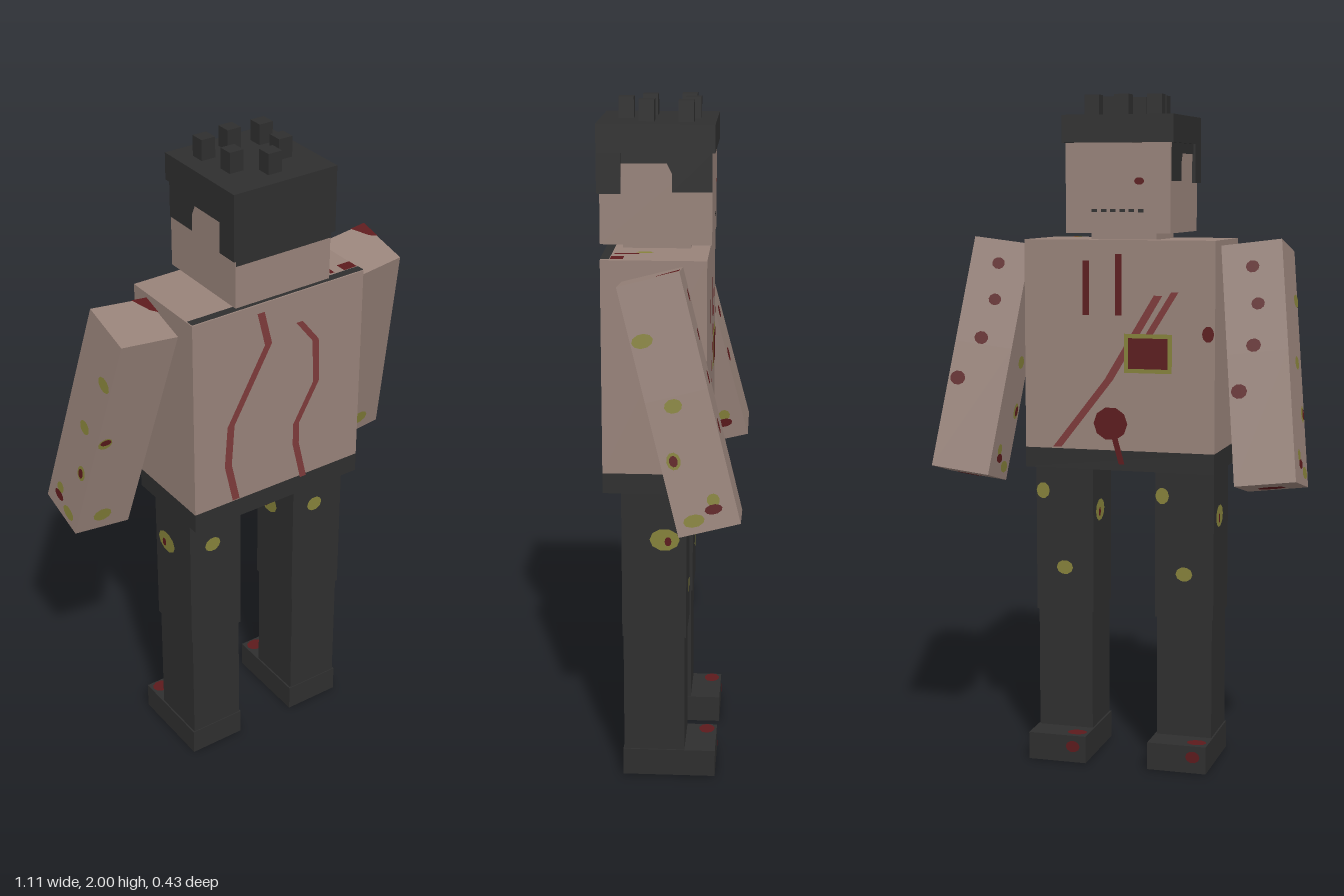
import * as THREE from 'three';

const colours = { skin: 0x978279, dark: 0x2e2e2e, blood: 0x5c1a1c, scratch: 0x7d3a3a, mould: 0x85813a };
const mats = {};
for (const [name, color] of Object.entries(colours)) {
  mats[name] = new THREE.MeshStandardMaterial({ color });
  mats[name].name = name;
}

// Box given by its limits on each axis
function box(parent, name, mat, [x0, x1], [y0, y1], [z0, z1]) {
  const mesh = new THREE.Mesh(new THREE.BoxGeometry(x1 - x0, y1 - y0, z1 - z0), mats[mat]);
  mesh.position.set((x0 + x1) / 2, (y0 + y1) / 2, (z0 + z1) / 2);
  mesh.name = name;
  parent.add(mesh);
  return mesh;
}

// Painted faces: rotation of the plate, sign of its two axes, axis it faces along
const H = Math.PI / 2;
const faces = {
  '+z': { rot: [0, 0, 0], su: 1, sv: 1, pos: d => [0, 0, d] },
  '-z': { rot: [0, 2 * H, 0], su: -1, sv: 1, pos: d => [0, 0, d] },
  '+x': { rot: [0, H, 0], su: -1, sv: 1, pos: d => [d, 0, 0] },
  '-x': { rot: [0, -H, 0], su: 1, sv: 1, pos: d => [d, 0, 0] },
  '+y': { rot: [-H, 0, 0], su: 1, sv: -1, pos: d => [0, d, 0] },
  '-y': { rot: [H, 0, 0], su: 1, sv: 1, pos: d => [0, d, 0] },
};
function paint(parent, name, mat, face, depth, points, lift = 0.003) {
  const f = faces[face];
  const shape = new THREE.Shape(points.map(([u, v]) => new THREE.Vector2(u * f.su, v * f.sv)));
  const mesh = new THREE.Mesh(new THREE.ShapeGeometry(shape), mats[mat]);
  mesh.rotation.set(...f.rot);
  mesh.position.set(...f.pos(depth + (face[0] === '+' ? lift : -lift)));
  mesh.name = name;
  parent.add(mesh);
}
const rect = (u, v, w, h) =>
  [[u - w / 2, v - h / 2], [u + w / 2, v - h / 2], [u + w / 2, v + h / 2], [u - w / 2, v + h / 2]];
const blob = (u, v, ru, rv = ru) => Array.from({ length: 10 }, (_, i) =>
  [u + ru * Math.cos(i * Math.PI / 5), v + rv * Math.sin(i * Math.PI / 5)]);
const streak = (pts, w) =>
  [...pts.map(([u, v]) => [u - w / 2, v]), ...pts.map(([u, v]) => [u + w / 2, v]).reverse()];

function buildHead() {
  const g = new THREE.Group();
  g.name = 'head';
  box(g, 'neck', 'skin', [-0.1, 0.1], [1.575, 1.61], [-0.05, 0.145]);
  box(g, 'face', 'skin', [-0.158, 0.158], [1.6, 1.87], [-0.113, 0.206]);
  box(g, 'hairTop', 'dark', [-0.168, 0.168], [1.86, 1.94], [-0.121, 0.214]);
  box(g, 'hairBack', 'dark', [-0.168, 0.168], [1.745, 1.86], [0.145, 0.214]);
  paint(g, 'hairline', 'dark', '+z', 0.206, rect(0, 1.737, 0.316, 0.02));
  // Sideburns
  for (const s of [-1, 1]) {
    paint(g, 'sideburn', 'dark', s > 0 ? '+x' : '-x', s * 0.158,
      [[-0.113, 1.75], [0, 1.75], [0, 1.8], [0.015, 1.83], [0.145, 1.83], [0.145, 1.86], [-0.113, 1.86]]);
  }
  // Hair tufts
  for (const [x, z] of [[-0.095, -0.037], [0.095, -0.037], [0, -0.053], [-0.08, 0.076], [0.08, 0.076], [0, 0.14]]) {
    box(g, 'hairTuft', 'dark', [x - 0.022, x + 0.022], [1.93, 2], [z - 0.022, z + 0.022]);
  }
  // Stitched mouth and cheek wound
  for (let i = 0; i < 6; i++) paint(g, 'mouthStitch', 'dark', '-z', -0.113, rect(-0.07 + i * 0.028, 1.665, 0.017, 0.009));
  paint(g, 'cheekWound', 'blood', '-z', -0.113, blob(-0.065, 1.75, 0.015, 0.011));
  return g;
}

function buildTorso() {
  const g = new THREE.Group();
  g.name = 'torso';
  const X = [-0.29, 0.29], Z = [-0.105, 0.193];
  box(g, 'chest', 'skin', X, [0.96, 1.58], Z);
  box(g, 'belt', 'dark', X, [0.9, 0.96], Z);
  paint(g, 'underside', 'skin', '-y', 0.9, rect(0, 0.044, 0.54, 0.25));
  paint(g, 'shoulderStrip', 'dark', '+y', 1.58, rect(0, 0.18, 0.58, 0.026));
  paint(g, 'shoulderBlood', 'blood', '+y', 1.58, rect(0.265, 0.147, 0.045, 0.036));
  paint(g, 'shoulderBlood', 'blood', '+y', 1.58, rect(0.205, 0.125, 0.014, 0.07));
  paint(g, 'shoulderMould', 'mould', '+y', 1.58, blob(0.182, 0.075, 0.012, 0.025));
  // Long scratches
  paint(g, 'scratch', 'scratch', '+z', Z[1],
    streak([[-0.066, 1.554], [-0.04, 1.448], [-0.167, 1.22], [-0.177, 1.09], [-0.15, 0.965]], 0.024));
  paint(g, 'scratch', 'scratch', '+z', Z[1],
    streak([[0.066, 1.485], [0.124, 1.41], [0.13, 1.273], [0.061, 1.15], [0.061, 1.08], [0.09, 0.955]], 0.022));
  paint(g, 'scratch', 'scratch', '-z', Z[0], streak([[-0.12, 1.42], [0.03, 1.17], [0.19, 0.965]], 0.026));
  paint(g, 'scratch', 'scratch', '-z', Z[0], streak([[-0.17, 1.43], [-0.04, 1.22]], 0.022));
  // Slashes, open wound and blood
  paint(g, 'slash', 'blood', '-z', Z[0], rect(0.1, 1.44, 0.02, 0.16));
  paint(g, 'slash', 'blood', '-z', Z[0], rect(0, 1.45, 0.02, 0.18));
  paint(g, 'woundEdge', 'mould', '-z', Z[0], rect(-0.09, 1.25, 0.145, 0.115), 0.005);
  paint(g, 'wound', 'blood', '-z', Z[0], rect(-0.09, 1.25, 0.12, 0.09), 0.007);
  paint(g, 'bloodSpot', 'blood', '-z', Z[0], blob(0.024, 1.04, 0.052, 0.05), 0.005);
  paint(g, 'bloodDrip', 'blood', '-z', Z[0], streak([[0.02, 1.03], [-0.01, 0.92]], 0.018), 0.005);
  paint(g, 'bloodSpot', 'blood', '-z', Z[0], blob(-0.27, 1.31, 0.018, 0.024));
  return g;
}

function buildArm(side) {
  const g = new THREE.Group();
  g.name = side > 0 ? 'leftArm' : 'rightArm';
  const hx = 0.09, hz = 0.0875, hy = 0.352;
  box(g, 'upperArm', 'skin', [-hx, hx], [0.03, hy], [-hz, hz]);
  box(g, 'forearm', 'skin', [-hx, hx], [-hy, 0.03], [-hz, hz]);
  // Mould and blood on the front
  paint(g, 'mouldSpot', 'mould', '+z', hz, blob(side * 0.012, -0.295, 0.03, 0.024));
  paint(g, 'mouldSpot', 'mould', '+z', hz, blob(-0.066, 0, 0.023, 0.02));
  paint(g, 'bloodSpot', 'blood', '+z', hz, blob(-0.066, 0.006, 0.018, 0.011), 0.005);
  // Sides
  for (const s of [-1, 1]) {
    const face = s > 0 ? '+x' : '-x';
    paint(g, 'mouldSpot', 'mould', face, s * hx, blob(0.054, 0.195, 0.03, 0.02));
    paint(g, 'mouldSpot', 'mould', face, s * hx, blob(0.015, 0.005, 0.025, 0.02));
    paint(g, 'mouldSpot', 'mould', face, s * hx, blob(0.05, -0.142, 0.02, 0.025));
    paint(g, 'bloodSpot', 'blood', face, s * hx, blob(0.05, -0.142, 0.012, 0.016), 0.005);
    paint(g, 'mouldSpot', 'mould', face, s * hx, blob(0.035, -0.315, 0.03, 0.018));
    paint(g, 'mouldSpot', 'mould', face, s * hx, blob(-0.03, -0.27, 0.018, 0.018));
    paint(g, 'bloodSpot', 'blood', face, s * hx, blob(-0.025, -0.295, 0.025, 0.014), 0.005);
  }
  // Blood on the back, shoulder and hand
  const spots = [[0, 0.28, 0.02], [-0.01, 0.17, 0.02], [0.01, 0.05, 0.022], [0.06, -0.08, 0.024]];
  for (const [u, v, r] of spots) paint(g, 'bloodSpot', 'blood', '-z', -hz, blob(u, v, r, r * 0.9));
  paint(g, 'shoulderBlood', 'blood', '+y', hy, [[0.04, -hz], [hx, -hz], [hx, -0.02], [0.07, -0.035]]);
  paint(g, 'handBlood', 'blood', '-y', -hy, blob(0, 0, 0.042, 0.034));
  g.rotation.set(0.248, 0, side * 0.12, 'ZYX');
  g.position.set(side * 0.424, 1.215, -0.04);
  return g;
}

function buildLeg(side) {
  const g = new THREE.Group();
  g.name = side > 0 ? 'leftLeg' : 'rightLeg';
  const c = side * 0.187;
  box(g, 'thigh', 'dark', [c - 0.09, c + 0.09], [0.45, 0.9], [-0.048, 0.141]);
  box(g, 'shin', 'dark', [c - 0.085, c + 0.085], [0.08, 0.45], [-0.043, 0.138]);
  box(g, 'foot', 'dark', [c - 0.09, c + 0.09], [0, 0.083], [-0.135, 0.141]);
  // Mould on the trousers
  paint(g, 'mouldSpot', 'mould', '+z', 0.141, blob(c - 0.012, 0.792, 0.027, 0.024));
  for (const s of [-1, 1]) {
    const face = s > 0 ? '+x' : '-x';
    paint(g, 'mouldSpot', 'mould', face, c + s * 0.09, blob(0.015, 0.757, 0.044, 0.034));
    paint(g, 'bloodSpot', 'blood', face, c + s * 0.09, blob(0.005, 0.752, 0.01, 0.014), 0.005);
  }
  paint(g, 'mouldSpot', 'mould', '-z', -0.048, blob(c + 0.068, 0.82, 0.021, 0.025));
  paint(g, 'mouldSpot', 'mould', '-z', -0.048, blob(c, 0.585, 0.026, 0.022));
  // Stains on the foot
  paint(g, 'toeBlood', 'blood', '-z', -0.135, blob(c - 0.05, 0.05, 0.022, 0.018));
  paint(g, 'toeBlood', 'blood', '+y', 0.083, blob(c - 0.055, -0.105, 0.03, 0.024));
  for (const s of [-1, 1]) paint(g, 'soleMould', 'mould', '-y', 0, blob(c + s * 0.04, 0.03 + s * 0.03, 0.022), 0.001);
  return g;
}

export function createModel() {
  const model = new THREE.Group();
  model.name = 'figure';
  model.add(buildHead(), buildTorso());
  for (const side of [1, -1]) model.add(buildArm(side), buildLeg(side));
  return model;
}
